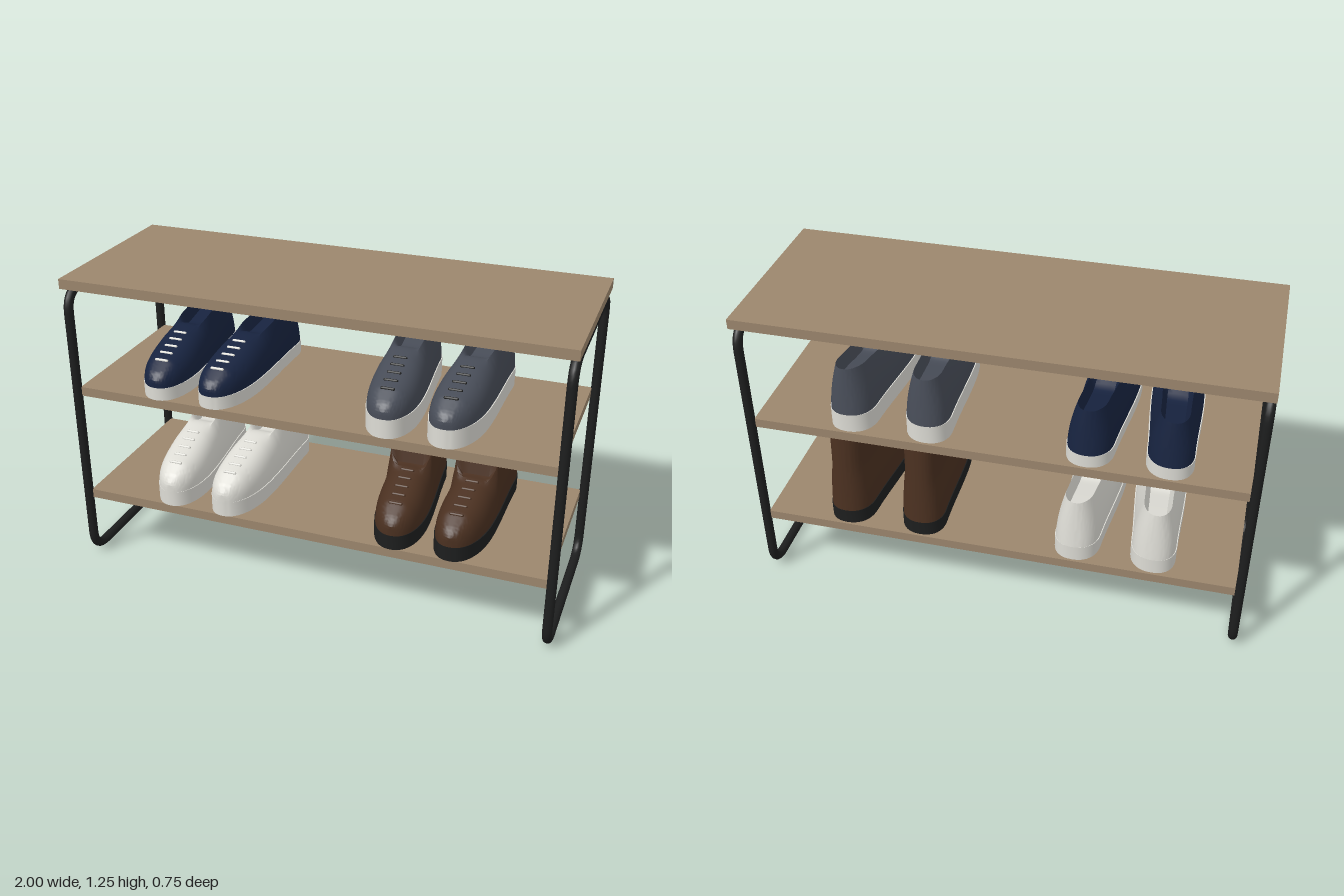
import * as THREE from 'three';
import { toCreasedNormals } from 'three/addons/utils/BufferGeometryUtils.js';

const { smoothstep, lerp } = THREE.MathUtils;

function material(name, color) {
  const m = new THREE.MeshStandardMaterial({ color });
  m.name = name;
  return m;
}

function addMesh(parent, name, geometry, mat, x = 0, y = 0, z = 0) {
  const mesh = new THREE.Mesh(geometry, mat);
  mesh.name = name;
  mesh.position.set(x, y, z);
  parent.add(mesh);
  return mesh;
}

// Shoe footprint: half width along the length, heel at BACK and toe at FRONT
const BACK = -0.345, FRONT = 0.36;
function halfWidth(z, w) {
  const body = w * lerp(0.86, 1, smoothstep(z, -0.25, 0.12));
  const d = z > 0.12 ? (z - 0.12) / (FRONT - 0.12) : z < -0.24 ? (z + 0.24) / (BACK + 0.24) : 0;
  return body * Math.pow(Math.max(0, 1 - Math.pow(d, 2.3)), 1 / 2.3);
}
const toeIn = (z, inward) => inward * 0.02 * z / 0.35;
const stations = (n) => Array.from({ length: n + 1 }, (_, j) =>
  (BACK + FRONT) / 2 - (FRONT - BACK) / 2 * Math.cos(Math.PI * j / n));

// Linear lookup in a profile of [z, height] points, running toe to heel
function heightAt(profile, z) {
  for (let k = 1; k < profile.length; k++) {
    const [z0, h0] = profile[k - 1], [z1, h1] = profile[k];
    if (z >= z1) return lerp(h0, h1, Math.min(1, Math.max(0, (z0 - z) / (z0 - z1))));
  }
  return profile[profile.length - 1][1];
}

function soleGeometry(inward, height) {
  const zs = stations(40);
  const point = (z, s) => new THREE.Vector2(toeIn(z, inward) + s * halfWidth(z, 0.106), -z);
  const outline = [
    ...zs.map((z) => point(z, 1)),
    ...zs.slice(1, -1).reverse().map((z) => point(z, -1)),
  ];
  const geo = new THREE.ExtrudeGeometry(new THREE.Shape(outline), { depth: height, bevelEnabled: false });
  geo.rotateX(-Math.PI / 2);
  return toCreasedNormals(geo, 0.8);
}

// Upper: sections along the length, a dome at the toe blending to an open collar
function upperGeometry(inward, style) {
  const zs = stations(72), sides = 24, positions = [], index = [];
  zs.forEach((z, j) => {
    const w = halfWidth(z, 0.102), h = heightAt(style.profile, z);
    const open = 1 - smoothstep(z, ...style.collar);
    const dip = 0.05 * open * Math.min(1, w / 0.06);
    const top = w * style.topWidth;
    for (let i = 0; i <= sides; i++) {
      const t = Math.PI * i / sides, sign = i <= sides / 2 ? 1 : -1;
      const s = Math.min(i, sides - i) / (sides / 2);
      const domeX = w * Math.pow(Math.abs(Math.cos(t)), 0.75);
      const domeY = h * Math.pow(Math.max(0, Math.sin(t)), 0.85);
      let x, y;
      if (s <= 0.75) {
        y = h * s / 0.75;
        x = lerp(w, top, Math.pow(Math.min(1, y / Math.min(h, style.ankle)), 1.8));
      } else {
        x = top * (1 - s) / 0.25;
        y = h - dip * Math.min(1, (s - 0.75) / 0.08);
      }
      const py = lerp(domeY, y, open);
      const lean = z < 0 ? 0.025 * (z / BACK) * py / h : 0;
      positions.push(toeIn(z, inward) + sign * lerp(domeX, x, open), py, z + lean);
      if (j < zs.length - 1 && i < sides) {
        const a = j * (sides + 1) + i, c = a + sides + 1;
        index.push(a, a + 1, c, a + 1, c + 1, c);
      }
    }
  });
  const geo = new THREE.BufferGeometry();
  geo.setAttribute('position', new THREE.Float32BufferAttribute(positions, 3));
  geo.setIndex(index);
  return toCreasedNormals(geo, 0.75);
}

function makeShoe(style, inward) {
  const shoe = new THREE.Group();
  addMesh(shoe, 'sole', soleGeometry(inward, style.sole), style.soleMat);
  addMesh(shoe, 'upper', upperGeometry(inward, style), style.upperMat, 0, style.sole);
  // Laces across the instep
  const lace = new THREE.CapsuleGeometry(0.006, 0.045, 3, 8).rotateZ(Math.PI / 2);
  for (let k = 0; k < 5; k++) {
    const z = 0.1 + k * 0.046;
    addMesh(shoe, 'lace', lace, style.laceMat,
      toeIn(z, inward), style.sole + heightAt(style.profile, z) - 0.001, z);
  }
  return shoe;
}

// Closed tube loop with rounded corners, in the yz plane
function frameGeometry() {
  const r = 0.019, c = 0.09, z = 0.375 - r, low = r, high = 1.197;
  const corners = [[low, z], [high, z], [high, -z], [low, -z]].map(([y, q]) => new THREE.Vector3(0, y, q));
  const path = new THREE.CurvePath();
  const toward = (a, b) => a.clone().add(b.clone().sub(a).setLength(c));
  corners.forEach((p, i) => {
    const next = corners[(i + 1) % 4], after = corners[(i + 2) % 4];
    path.add(new THREE.LineCurve3(toward(p, next), toward(next, p)));
    path.add(new THREE.QuadraticBezierCurve3(toward(next, p), next, toward(next, after)));
  });
  return new THREE.TubeGeometry(path, 200, r, 14, true);
}

export function createModel() {
  const model = new THREE.Group();
  model.name = 'shoeRack';
  const wood = material('wood', 0x9c866d);
  const black = material('black', 0x1d1e1e);
  const navy = material('navy', 0x17233f);
  const slate = material('slate grey', 0x474c57);
  const white = material('off white', 0xdddcd5);
  const brown = material('brown leather', 0x4a3020);

  // Rack
  addMesh(model, 'topBoard', new THREE.BoxGeometry(2, 0.04, 0.75), wood, 0, 1.233);
  for (const y of [0.774, 0.299]) {
    addMesh(model, 'shelf', new THREE.BoxGeometry(1.93, 0.038, 0.71), wood, 0, y);
  }
  const frame = frameGeometry();
  for (const s of [-1, 1]) addMesh(model, 'sideFrame', frame, black, s * 0.981);

  // Shoes
  const low = [[0.36, 0.03], [0.34, 0.06], [0.28, 0.095], [0.2, 0.115], [0.1, 0.14],
    [0, 0.155], [-0.1, 0.165], [-0.2, 0.18], [-0.32, 0.195], [-0.35, 0.195]];
  const tall = [[0.36, 0.04], [0.34, 0.07], [0.28, 0.105], [0.2, 0.125], [0.1, 0.15],
    [0.07, 0.165], [0.05, 0.2], [0.04, 0.26], [0.03, 0.35], [-0.35, 0.35]];
  const scaled = (k) => low.map(([z, h]) => [z, h * k]);
  const sneaker = { collar: [-0.08, 0.08], topWidth: 0.62, ankle: 1, soleMat: white };
  const pairs = [
    { ...sneaker, name: 'navySneaker', xs: [-0.643, -0.37], y: 0.793, sole: 0.053,
      profile: scaled(0.95), upperMat: navy, laceMat: white },
    { ...sneaker, name: 'greySneaker', xs: [0.29, 0.563], y: 0.793, sole: 0.077,
      profile: low, upperMat: slate, laceMat: black },
    { ...sneaker, name: 'whiteSneaker', xs: [-0.613, -0.337], y: 0.318, sole: 0.065,
      profile: scaled(1.06), upperMat: white, laceMat: white },
    { name: 'boot', xs: [0.332, 0.606], y: 0.318, sole: 0.062, profile: tall, collar: [0.04, 0.1],
      topWidth: 0.83, ankle: 0.2, upperMat: brown, soleMat: black, laceMat: brown },
  ];
  for (const style of pairs) {
    style.xs.forEach((x, i) => {
      const shoe = makeShoe(style, i === 0 ? 1 : -1);
      shoe.name = style.name;
      shoe.position.set(x, style.y, 0);
      model.add(shoe);
    });
  }
  return model;
}
